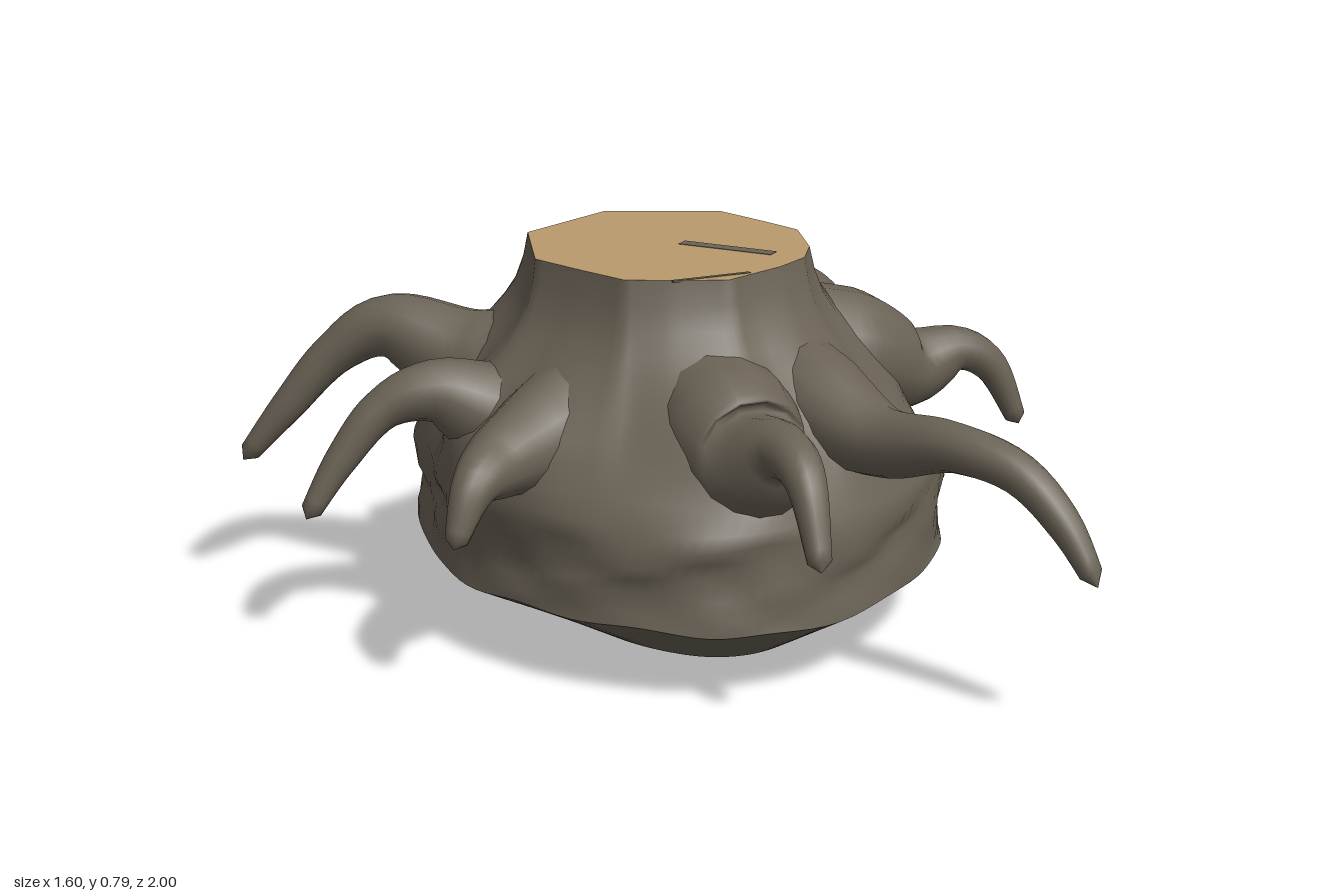
import * as THREE from 'three';

const bark = new THREE.MeshStandardMaterial({ color: 0x6a6255 });
bark.name = 'bark';
const wood = new THREE.MeshStandardMaterial({ color: 0xbb9a6d });
wood.name = 'cut wood';

const N = 96;
// Matching outlines (x, z), running clockwise from the back as seen from above
const belly = [[-.17, -.65], [.02, -.63], [.24, -.54], [.44, -.38], [.53, -.14], [.55, .08], [.51, .23], [.37, .39],
  [.18, .52], [-.03, .575], [-.2, .535], [-.35, .4], [-.45, .22], [-.5, .02], [-.48, -.2], [-.39, -.51]];
const rim = [[-.12, -.315], [-.01, -.37], [.105, -.32], [.22, -.27], [.27, -.14], [.3, -.05], [.26, .09], [.21, .17],
  [.13, .22], [-.01, .275], [-.12, .23], [-.2, .19], [-.25, .08], [-.3, -.04], [-.265, -.15], [-.23, -.26]];
const bellyCurve = new THREE.CatmullRomCurve3(belly.map(([x, z]) => new THREE.Vector3(x, 0, z)), true);

// Root stations: [x, y, z, radius]
const roots = {
  backLeftRoot: [[.06, .58, -.18, .14], [.2, .57, -.36, .125], [.33, .57, -.51, .09], [.47, .52, -.68, .06],
    [.59, .45, -.84, .046], [.67, .39, -.92, .037], [.745, .29, -.998, .02]],
  frontLeftRoot: [[.13, .57, .08, .12], [.17, .525, .33, .11], [.22, .49, .51, .072], [.28, .525, .7, .05],
    [.35, .5, .83, .042], [.4, .42, .92, .035], [.435, .31, .995, .02]],
  frontRoot: [[-.045, .55, .15, .13], [-.045, .5, .36, .145], [-.045, .465, .47, .125], [-.045, .53, .61, .055],
    [-.05, .51, .71, .042], [-.06, .35, .81, .022]],
  backRightRoot: [[-.15, .53, -.12, .13], [-.34, .515, -.28, .115], [-.5, .58, -.4, .068], [-.6, .52, -.45, .047],
    [-.7, .4, -.49, .036], [-.79, .28, -.53, .02]],
  rightRoot: [[-.16, .54, -.04, .13], [-.38, .48, -.04, .11], [-.52, .53, -.06, .065], [-.62, .5, -.08, .044],
    [-.71, .4, -.09, .034], [-.79, .28, -.09, .02]],
  frontRightRoot: [[-.16, .54, .05, .13], [-.37, .47, .15, .105], [-.49, .45, .22, .072], [-.56, .43, .28, .047],
    [-.62, .32, .32, .02]],
  leftRoot: [[.16, .57, -.02, .14], [.39, .53, .01, .135], [.54, .48, .01, .09], [.65, .51, .03, .047],
    [.72, .47, .04, .038], [.79, .33, .055, .02]],
  backSideRoot: [[.14, .57, -.13, .13], [.34, .57, -.22, .12], [.46, .51, -.25, .09], [.54, .48, -.24, .06],
    [.585, .42, -.23, .042], [.605, .31, -.22, .02]],
};

function rimAt(i) {
  const f = (i % N) / N * 16, k = Math.floor(f), a = rim[k], b = rim[(k + 1) % 16];
  return new THREE.Vector3(a[0] + (b[0] - a[0]) * (f - k), 0, a[1] + (b[1] - a[1]) * (f - k));
}
const bellyAt = (i) => bellyCurve.getPoint(i / N);
const edgeY = (i) => .148 + .007 * Math.sin(i * 6 * Math.PI / N + 1) + .004 * Math.sin(i * 22 * Math.PI / N);

// Outward swelling of the trunk where a root leaves it
function swelling(p, y) {
  let most = 0;
  for (const stations of Object.values(roots)) {
    const [x, cy, z] = stations[1], len = Math.hypot(x, z);
    const along = (p.x * x + p.z * z) / len, across = (p.x * z - p.z * x) / len;
    const reach = y > cy ? .13 : .09;
    if (along > 0) most = Math.max(most, Math.exp(-((across / .13) ** 2) - ((y - cy) / reach) ** 2));
  }
  return .065 * most;
}

// Joins closed rings, listed from bottom to top, into a smooth skin
function loft(rings) {
  const pos = rings.flat().flatMap((p) => [p.x, p.y, p.z]), index = [];
  for (let r = 0; r < rings.length - 1; r++) {
    for (let i = 0; i < N; i++) {
      const a = r * N + i, b = r * N + (i + 1) % N, c = a + N, d = b + N;
      index.push(a, c, b, b, c, d);
    }
  }
  const g = new THREE.BufferGeometry();
  g.setAttribute('position', new THREE.Float32BufferAttribute(pos, 3));
  g.setIndex(index);
  g.computeVertexNormals();
  return g;
}
const ring = (fn) => Array.from({ length: N }, (_, i) => fn(i));

// Tapering root along its stations
function rootGeometry(stations) {
  const curve = new THREE.CatmullRomCurve3(stations.map((s) => new THREE.Vector3(s[0], s[1], s[2])));
  const rows = 36, sides = 14;
  const g = new THREE.TubeGeometry(curve, rows, 1, sides);
  const p = g.attributes.position, v = new THREE.Vector3(), w = new THREE.Vector3();
  for (let j = 0; j <= rows; j++) {
    const c = curve.getPointAt(j / rows);
    const f = curve.getUtoTmapping(j / rows) * (stations.length - 1);
    const k = Math.min(Math.floor(f), stations.length - 2);
    const r = j === rows ? 0 : THREE.MathUtils.lerp(stations[k][3], stations[k + 1][3], f - k);
    for (let i = 0; i <= sides; i++) {
      const n = j * (sides + 1) + i;
      v.fromBufferAttribute(p, n).sub(c).multiplyScalar(r).add(c);
      p.setXYZ(n, v.x, v.y, v.z);
    }
  }
  g.computeVertexNormals();
  // Match the normals across the tube's seam
  const nor = g.attributes.normal;
  for (let j = 0; j <= rows; j++) {
    const a = j * (sides + 1), b = a + sides;
    v.fromBufferAttribute(nor, a).add(w.fromBufferAttribute(nor, b)).normalize();
    nor.setXYZ(a, v.x, v.y, v.z);
    nor.setXYZ(b, v.x, v.y, v.z);
  }
  return g;
}

export function createModel() {
  const group = new THREE.Group();
  const add = (name, geometry, material) => {
    const mesh = new THREE.Mesh(geometry, material);
    mesh.name = name;
    group.add(mesh);
  };

  // Trunk flaring into a lumpy root ball: [height, blend to rim, lumpiness]
  const levels = [[.15, 0, 0], [.18, .01, .4], [.215, .02, .9], [.25, .02, 1], [.285, .01, 1], [.32, 0, .7],
    [.355, .03, .5], [.4, .16, .3], [.45, .31, .1], [.49, .43, 0], [.53, .55, 0], [.57, .66, 0], [.61, .76, 0],
    [.65, .85, 0], [.69, .92, 0], [.74, .97, 0], [.79, 1, 0]];
  add('trunk', loft(levels.map(([y, t, lump], l) => ring((i) => {
    const a = i / N * Math.PI * 2;
    const p = bellyAt(i).lerp(rimAt(i), t);
    const n = Math.sin(7 * a + y * 37) * .5 + Math.sin(13 * a - y * 54) * .5;
    const swell = t < 1 ? swelling(p, y) / Math.hypot(p.x, p.z) : 0;
    const k = 1 + lump * (.022 * n - .007) + swell;
    return new THREE.Vector3(p.x * k, l === 0 ? edgeY(i) : y + lump * .012 * Math.sin(5 * a + y * 28), p.z * k);
  }))), bark);

  // Tapering underside with a sharp upper edge and a flat, softly shaded bottom
  const foot = (i, t) => {
    const p = bellyAt(i);
    const x = p.x * .52 + .03, z = p.z * .63 - .03;
    return new THREE.Vector3(x + (p.x - x) * t, .008 + (edgeY(i) - .008) * t, z + (p.z - z) * t);
  };
  const sole = (i, s) => {
    const p = foot(i, 0);
    return new THREE.Vector3(.03 + (p.x - .03) * s, 0, -.03 + (p.z + .03) * s);
  };
  add('underside', loft([
    ...[0, .5, .93].map((s) => ring((i) => sole(i, s))),
    ...[0, .5, 1].map((t) => ring((i) => foot(i, t))),
  ]), bark);

  // Cut face with thin cracks
  const face = new THREE.ShapeGeometry(new THREE.Shape(ring(rimAt).map((p) => new THREE.Vector2(p.x, -p.z))));
  face.rotateX(-Math.PI / 2);
  face.translate(0, .79, 0);
  add('cutFace', face, wood);
  const addCrack = (name, length, width, angle, x, z) => {
    const g = new THREE.BoxGeometry(length, .004, width);
    g.rotateY(angle);
    g.translate(x, .789, z);
    add(name, g, bark);
  };
  addCrack('crack', .21, .03, -Math.atan2(.16, .135), .098, .035);
  addCrack('rimCrack', .17, .01, 0, -.03, .237);

  for (const [name, stations] of Object.entries(roots)) add(name, rootGeometry(stations), bark);
  return group;
}
